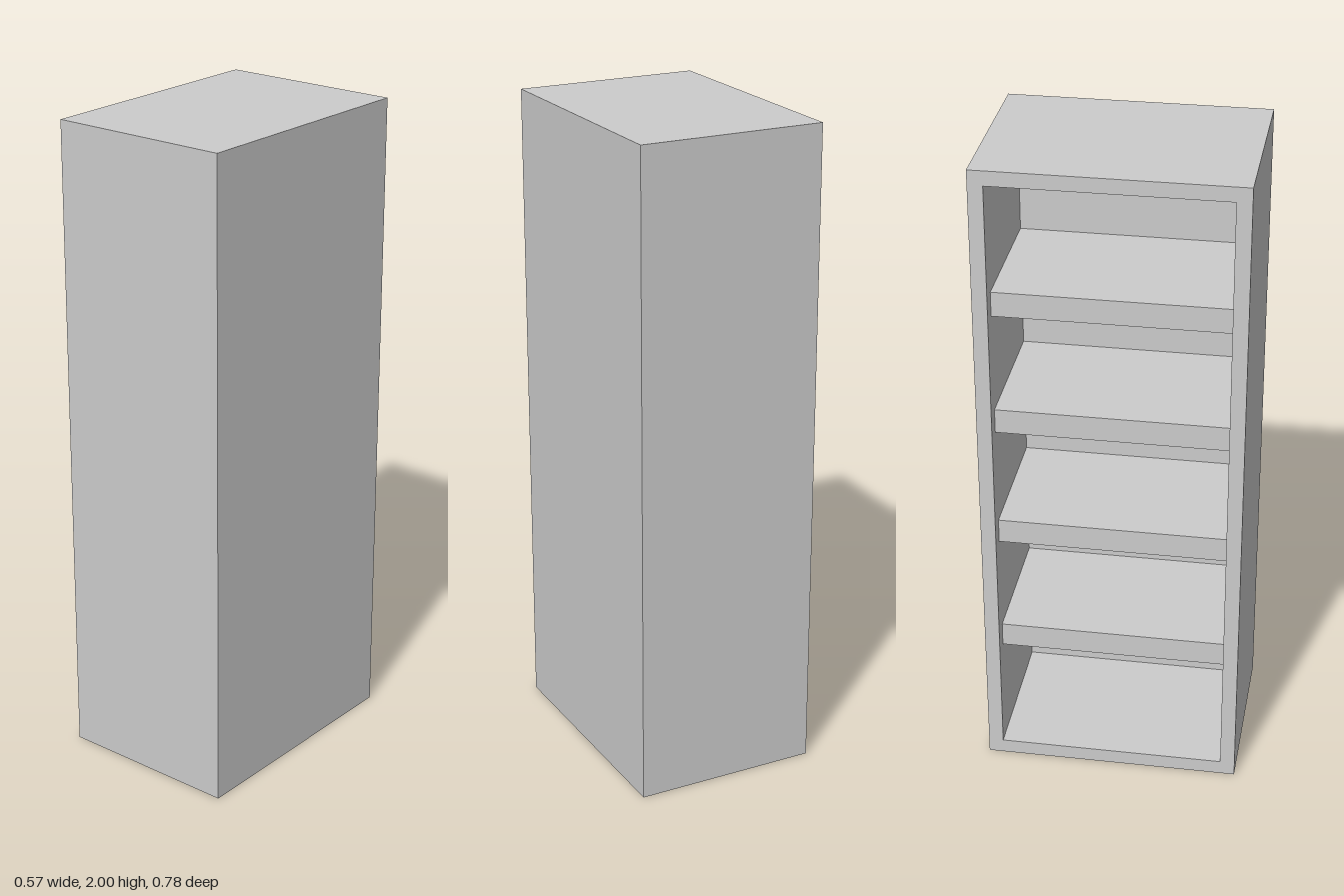
import * as THREE from 'three';

const X = 0.284, H = 2, Z = 0.392;   // half width, height, half depth
const T = 0.045;                     // rim around the opening
const BACK = 0.193;                  // back of the shelf bay
const Q = Math.PI / 2;

export function createModel() {
  const model = new THREE.Group();
  const material = new THREE.MeshStandardMaterial({ color: 0xcccccc, side: THREE.DoubleSide });

  function add(name, geometry, x, y, z, rx = 0, ry = 0) {
    const mesh = new THREE.Mesh(geometry, material);
    mesh.name = name;
    mesh.position.set(x, y, z);
    mesh.rotation.set(rx, ry, 0);
    model.add(mesh);
  }
  const plane = (w, h) => new THREE.PlaneGeometry(w, h);

  // Outer shell, open underneath
  add('closedSide', plane(2 * Z, H), X, H / 2, 0, 0, Q);
  add('frontWall', plane(2 * X, H), 0, H / 2, Z);
  add('backWall', plane(2 * X, H), 0, H / 2, -Z, 0, 2 * Q);
  add('top', plane(2 * X, 2 * Z), 0, H, 0, -Q);

  // Rim around the opening on the -x side
  const rim = new THREE.Shape([[-Z, 0], [Z, 0], [Z, H], [-Z, H]].map(p => new THREE.Vector2(...p)));
  const a = Z - T, b = H - T;
  rim.holes.push(new THREE.Path([[-a, T], [-a, b], [a, b], [a, T]].map(p => new THREE.Vector2(...p))));
  add('openingRim', new THREE.ShapeGeometry(rim), -X, 0, 0, 0, -Q);

  // Lining of the shelf bay
  const depth = BACK + X, midX = (BACK - X) / 2, bayH = H - 2 * T;
  add('bayBack', plane(2 * a, bayH), BACK, H / 2, 0, 0, -Q);
  add('bayFrontWall', plane(depth, bayH), midX, H / 2, a, 0, 2 * Q);
  add('bayBackWall', plane(depth, bayH), midX, H / 2, -a);
  add('bayFloor', plane(depth, 2 * a), midX, T, 0, -Q);
  add('bayCeiling', plane(depth, 2 * a), midX, b, 0, Q);

  // Four evenly spaced shelves, set back from the rim
  const shelfDepth = depth - T;
  for (let i = 1; i <= 4; i++) {
    add('shelf' + i, new THREE.BoxGeometry(shelfDepth, 0.076, 2 * a),
      BACK - shelfDepth / 2, T + bayH * i / 5, 0);
  }
  return model;
}
